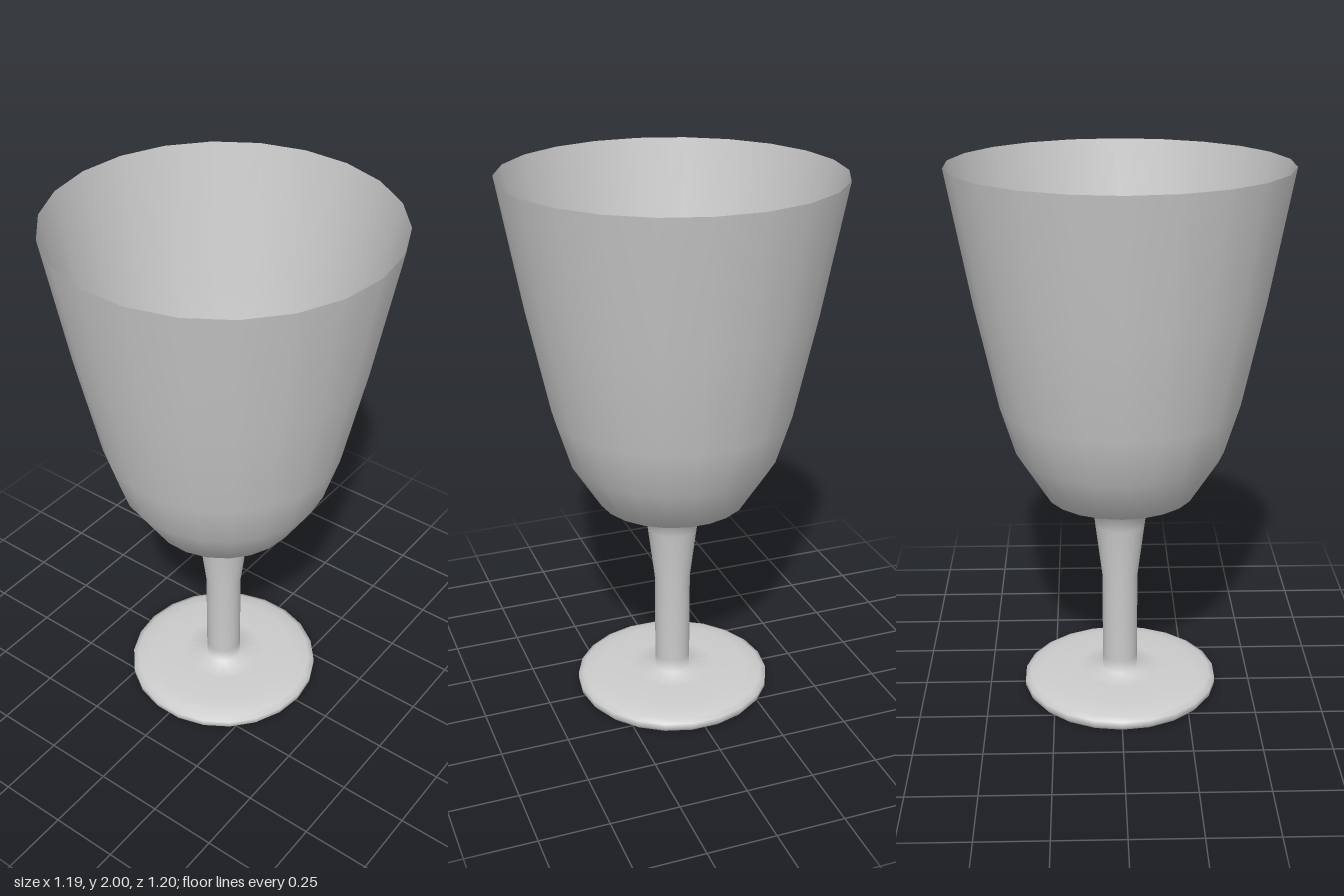
import * as THREE from 'three';

const SIDES = 22;

export function createModel() {
  const group = new THREE.Group();
  group.name = 'goblet';
  const material = new THREE.MeshStandardMaterial({ color: 0xcccccc, side: THREE.DoubleSide });

  // Turn a profile of [radius, height] points into one open shell.
  function turn(name, profile) {
    const points = profile.map(([r, y]) => new THREE.Vector2(r, y));
    const mesh = new THREE.Mesh(new THREE.LatheGeometry(points, SIDES), material);
    mesh.name = name;
    group.add(mesh);
  }

  // Foot: thin hollow disc with a rounded rim, running up into the stem.
  turn('foot', [
    [0.355, 0], [0.367, 0.015], [0.367, 0.037], [0.345, 0.048],
    [0.285, 0.064], [0.16, 0.066], [0.066, 0.068], [0.066, 0.12],
  ]);

  // Stem: hollow tube that flares towards the bowl.
  turn('stem', [[0.066, 0.12], [0.067, 0.46], [0.093, 0.67]]);

  // Bowl: thin-walled cup, open at the rim and into the stem.
  turn('bowl', [
    [0.093, 0.67], [0.099, 0.72], [0.145, 0.768], [0.275, 0.803],
    [0.38, 0.97], [0.435, 1.15], [0.515, 1.53], [0.6, 2],
  ]);

  return group;
}
